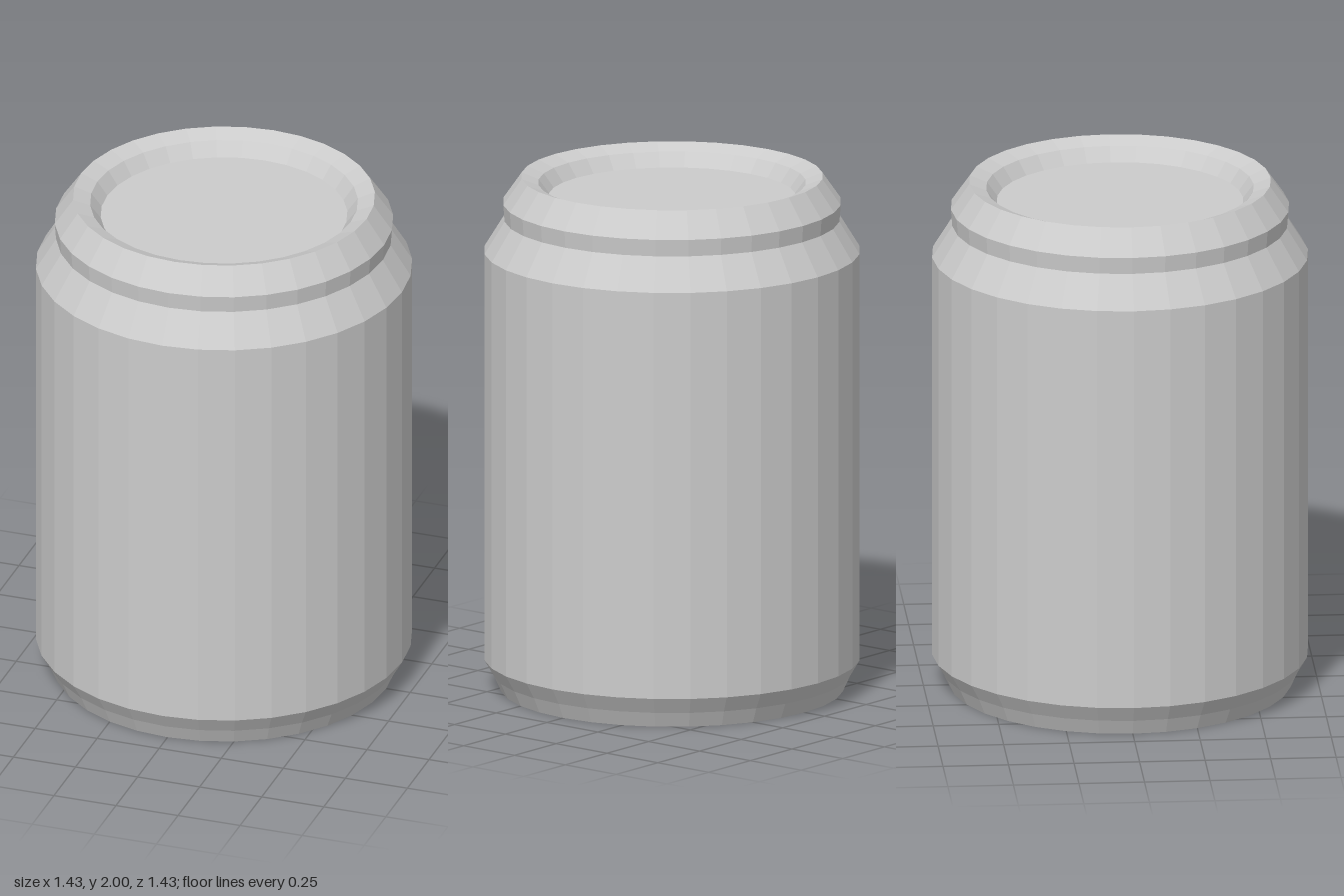
import * as THREE from 'three';

const SIDES = 32;

export function createModel() {
  const group = new THREE.Group();
  const material = new THREE.MeshStandardMaterial({ color: 0xcccccc, flatShading: true });

  // Turns a profile of [radius, height] points into a faceted part
  const addTurned = (name, profile) => {
    const points = profile.map(([r, y]) => new THREE.Vector2(r, y));
    const mesh = new THREE.Mesh(new THREE.LatheGeometry(points, SIDES), material);
    mesh.name = name;
    group.add(mesh);
  };

  // Flat disc placed at a height, facing up or down
  const addDisc = (name, radius, y, facing) => {
    const mesh = new THREE.Mesh(new THREE.CircleGeometry(radius, SIDES), material);
    mesh.rotation.x = -facing * Math.PI / 2;
    mesh.position.y = y;
    mesh.name = name;
    group.add(mesh);
  };

  // Recessed underside
  addDisc('basePanel', 0.637, 0.11, -1);
  addTurned('baseRim', [[0.637, 0.11], [0.653, 0]]);

  // Outer shell: foot taper, straight wall, shoulder, neck and lip
  addTurned('canBody', [
    [0.653, 0], [0.68, 0.06], [0.717, 0.123], [0.717, 1.71],
    [0.64, 1.835], [0.645, 1.9], [0.575, 2],
  ]);

  // Lid: gently sloping rim, then a steep step down to the panel
  addTurned('lidRim', [[0.575, 2], [0.51, 1.975], [0.47, 1.922]]);
  addDisc('lidPanel', 0.47, 1.922, 1);

  return group;
}
